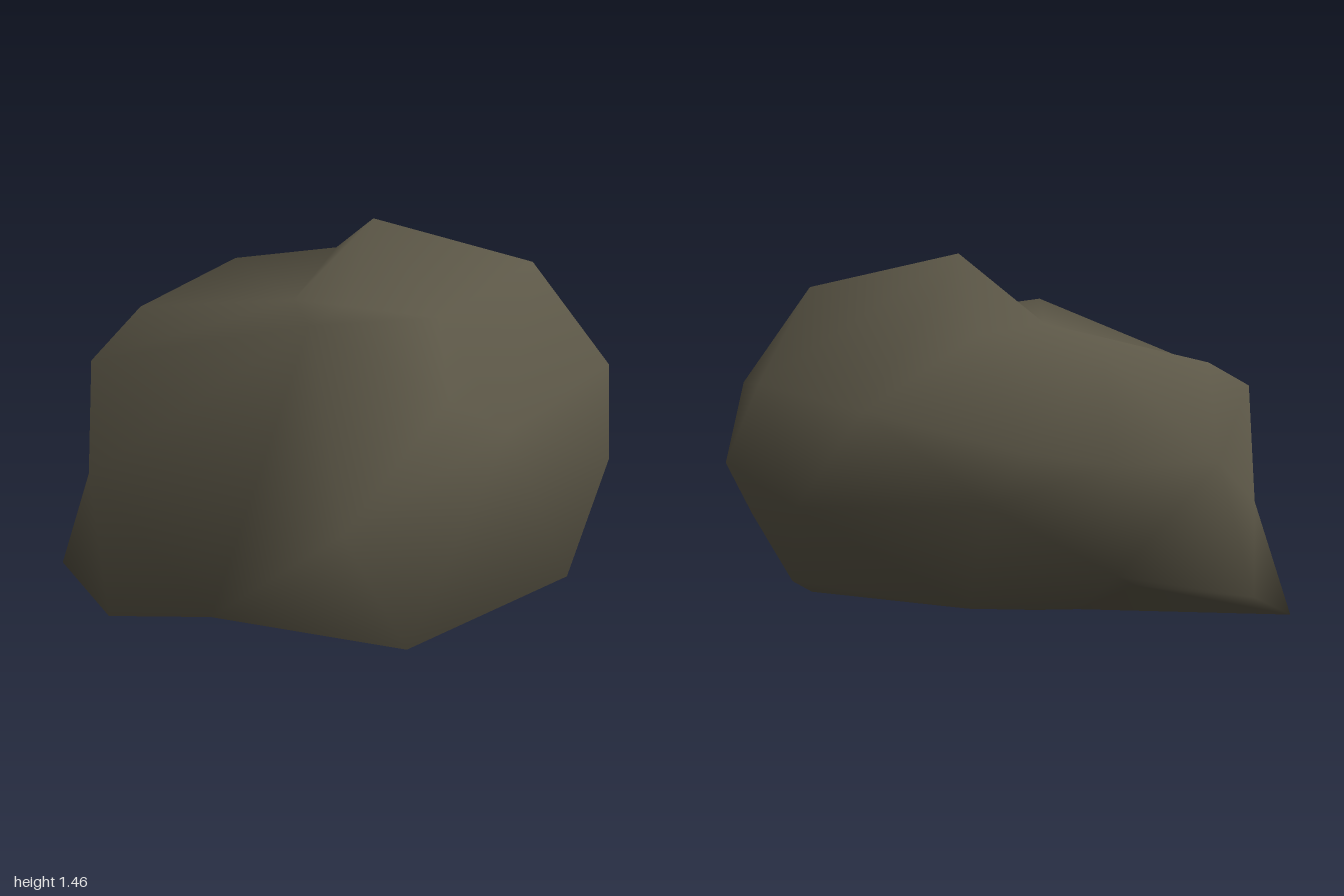
import * as THREE from 'three';
import { ConvexGeometry } from 'three/addons/geometries/ConvexGeometry.js';

// Corner points of the boulder, grouped by region
const crown = [
  [0.23, 1.46, -0.06], [0.6, 1.32, 0.46], [-0.39, 1.25, 0.24], [-0.2, 1.07, 0.76],
  [0.14, 1.13, -0.83], [-0.42, 1.06, -0.77], [-0.74, 0.94, -0.67],
];
// Dips between the two humps and in the shoulders
const dips = [
  [0.13, 1.19, 0.4], [-0.03, 1.185, 0.05], [-0.12, 1.18, -0.15], [0.44, 1.19, -0.5],
  [0.1, 0.86, 0.79], [0.3, 0.76, -0.6], [-0.74, 0.48, -0.72],
];
const sides = [
  [0.96, 0.98, 0.2], [0.8, 0.92, -0.3], [0.77, 0.92, 0.74], [1, 0.65, 0.43],
  [0.93, 0.54, -0.02], [0.53, 0.61, -0.69], [0.13, 0.74, -0.87], [-0.3, 0.72, -0.96],
  [-0.87, 0.52, -0.55], [-0.6, 0.63, 0.64], [0.51, 0.67, 0.96],
];
const foot = [
  [0.87, 0.42, 0.48], [0.84, 0.2, 0.2], [0.11, 0.34, -0.88], [-0.48, 0.19, -0.98],
  [-0.88, 0.01, -0.8], [-1, 0.04, -0.28], [-0.86, 0.2, 0.2], [-0.48, 0.2, 0.85],
  [0.27, 0.25, 0.98],
];
const underside = [
  [0.6, 0.05, 0.5], [0, 0.06, 0.56], [-0.1, 0, -0.12], [-0.65, 0, -0.25],
  [0.42, 0.16, -0.4], [-0.1, 0.07, -0.4], [-0.2, 0.2, -0.62],
];

// Joins the corners into a closed skin: triangulate their directions from the
// middle on a sphere, then use those triangles on the real corners.
function skin(corners, middle) {
  const points = corners.map((p) => new THREE.Vector3(...p));
  const directions = points.map((p) => p.clone().sub(middle).normalize());
  const hull = new ConvexGeometry(directions).getAttribute('position');
  const index = [];
  const v = new THREE.Vector3();
  for (let i = 0; i < hull.count; i++) {
    v.fromBufferAttribute(hull, i);
    let best = 0;
    directions.forEach((d, k) => {
      if (d.distanceToSquared(v) < directions[best].distanceToSquared(v)) best = k;
    });
    index.push(best);
  }
  const geometry = new THREE.BufferGeometry().setFromPoints(points);
  geometry.setIndex(index);
  geometry.computeVertexNormals();
  return geometry;
}

export function createModel() {
  const stone = new THREE.MeshStandardMaterial({ color: 0x5c5747 });
  stone.name = 'stone';
  const boulder = new THREE.Mesh(
    skin([...crown, ...dips, ...sides, ...foot, ...underside], new THREE.Vector3(0, 0.52, 0)),
    stone
  );
  boulder.name = 'boulder';
  const group = new THREE.Group();
  group.name = 'rock';
  group.add(boulder);
  return group;
}
